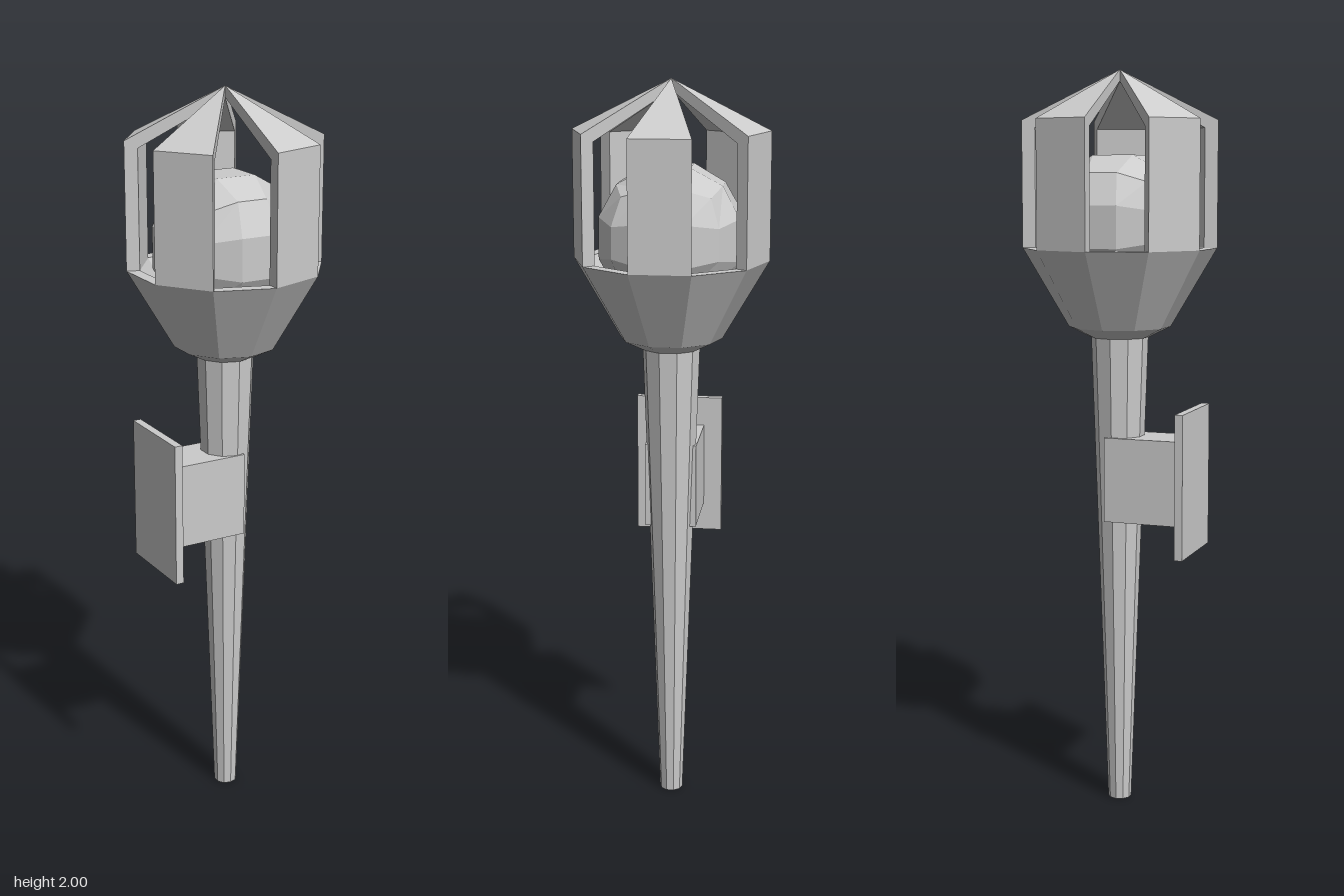
import * as THREE from 'three';

const SIDES = 10;
const STEP = (Math.PI * 2) / SIDES;
const points = (list) => list.map(([x, y]) => new THREE.Vector2(x, y));

export function createModel() {
  const model = new THREE.Group();
  model.name = 'wallTorch';
  const solid = new THREE.MeshStandardMaterial({ color: 0xcccccc, flatShading: true });
  const thin = new THREE.MeshStandardMaterial({ color: 0xcccccc, flatShading: true, side: THREE.DoubleSide });

  const add = (name, geometry, parent = model, material = solid) => {
    const mesh = new THREE.Mesh(geometry, material);
    mesh.name = name;
    parent.add(mesh);
    return mesh;
  };

  // Tapered handle
  add('handle', new THREE.CylinderGeometry(0.077, 0.032, 1.3, SIDES)).position.y = 0.65;

  // Hollow bowl with a thick rim
  add('bowl', new THREE.LatheGeometry(points([
    [0, 1.297], [0.08, 1.297], [0.137, 1.325], [0.26, 1.535],
    [0.225, 1.535], [0.118, 1.35], [0, 1.335],
  ]), SIDES));

  // Cage: every second side is a thick panel that bends inward to the peak
  const section = points([
    [0.26, 1.535], [0.26, 1.87], [0, 2], [0, 1.97], [0.225, 1.85], [0.225, 1.535],
  ]);
  const cage = new THREE.Group();
  cage.name = 'cage';
  model.add(cage);
  for (let i = 0; i < SIDES; i += 2) {
    const panel = new THREE.Group();
    panel.name = 'cagePanel';
    cage.add(panel);
    const start = i * STEP;
    add('panelShell', new THREE.LatheGeometry(section, 1, start, STEP), panel, thin);
    for (const angle of [start, start + STEP]) {
      const side = add('panelSide', new THREE.ShapeGeometry(new THREE.Shape(section)), panel, thin);
      side.rotation.y = angle - Math.PI / 2;
    }
  }

  // Faceted ball: a subdivided cube pushed out onto a sphere
  const ball = new THREE.BoxGeometry(2, 2, 2, 3, 3, 3);
  const pos = ball.attributes.position;
  const v = new THREE.Vector3();
  const ease = (c) => (Math.abs(c) > 0.9 ? c : c * 0.9);
  for (let i = 0; i < pos.count; i++) {
    v.fromBufferAttribute(pos, i);
    v.set(ease(v.x), ease(v.y), ease(v.z)).setLength(0.2);
    pos.setXYZ(i, v.x, v.y, v.z);
  }
  ball.computeVertexNormals();
  add('glowBall', ball).position.y = 1.595;

  // Wall mount
  add('mountBlock', new THREE.BoxGeometry(0.215, 0.23, 0.14)).position.set(-0.0875, 0.915, 0);
  add('wallPlate', new THREE.BoxGeometry(0.022, 0.39, 0.24)).position.set(-0.206, 0.915, 0);

  return model;
}
